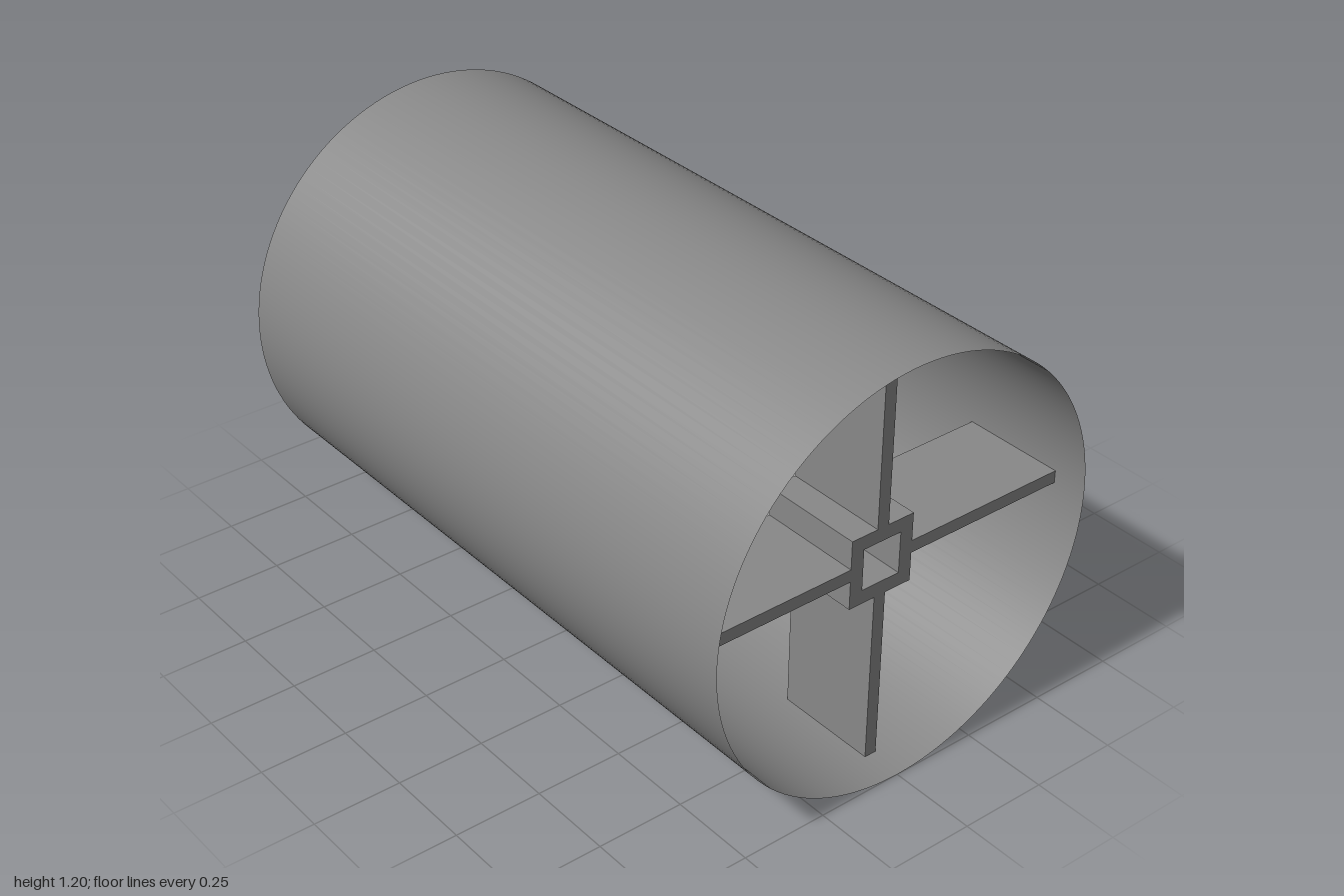
import * as THREE from 'three';

const solid = new THREE.MeshStandardMaterial({ color: 0x888888 });
const sheet = new THREE.MeshStandardMaterial({ color: 0x888888, side: THREE.DoubleSide });

function addMesh(parent, name, geometry, material) {
  const mesh = new THREE.Mesh(geometry, material);
  mesh.name = name;
  parent.add(mesh);
  return mesh;
}

function square(shape, h) {
  shape.moveTo(-h, -h);
  shape.lineTo(h, -h);
  shape.lineTo(h, h);
  shape.lineTo(-h, h);
  shape.closePath();
  return shape;
}

export function createModel() {
  const model = new THREE.Group();
  model.name = 'tubeWithHub';
  const R = 0.6, hubHalf = 0.1, backZ = 0.6, depth = 0.3;

  // Thin-walled tube, open at the front
  const wall = new THREE.CylinderGeometry(R, R, 2, 128, 1, true).rotateX(Math.PI / 2);
  addMesh(model, 'tubeWall', wall, sheet);

  // Flat ring that narrows the back opening
  const ring = new THREE.RingGeometry(0.5, R, 128).rotateY(Math.PI);
  addMesh(model, 'backRing', ring, sheet).position.z = -1;

  // Holder inside the front: square hub on four spokes
  const holder = new THREE.Group();
  holder.name = 'holder';
  const hubShape = square(new THREE.Shape(), hubHalf);
  hubShape.holes.push(square(new THREE.Path(), 0.06));
  addMesh(holder, 'hub', new THREE.ExtrudeGeometry(hubShape, { depth, bevelEnabled: false }), solid)
    .position.z = backZ;

  const length = 0.599 - hubHalf;
  for (let i = 0; i < 4; i++) {
    const spoke = new THREE.BoxGeometry(length, 0.036, depth);
    spoke.translate(hubHalf + length / 2, 0, backZ + depth / 2);
    addMesh(holder, 'spoke', spoke, solid).rotation.z = i * Math.PI / 2;
  }
  model.add(holder);

  // Rest the tube on the ground
  for (const part of model.children) part.position.y = R;
  return model;
}
